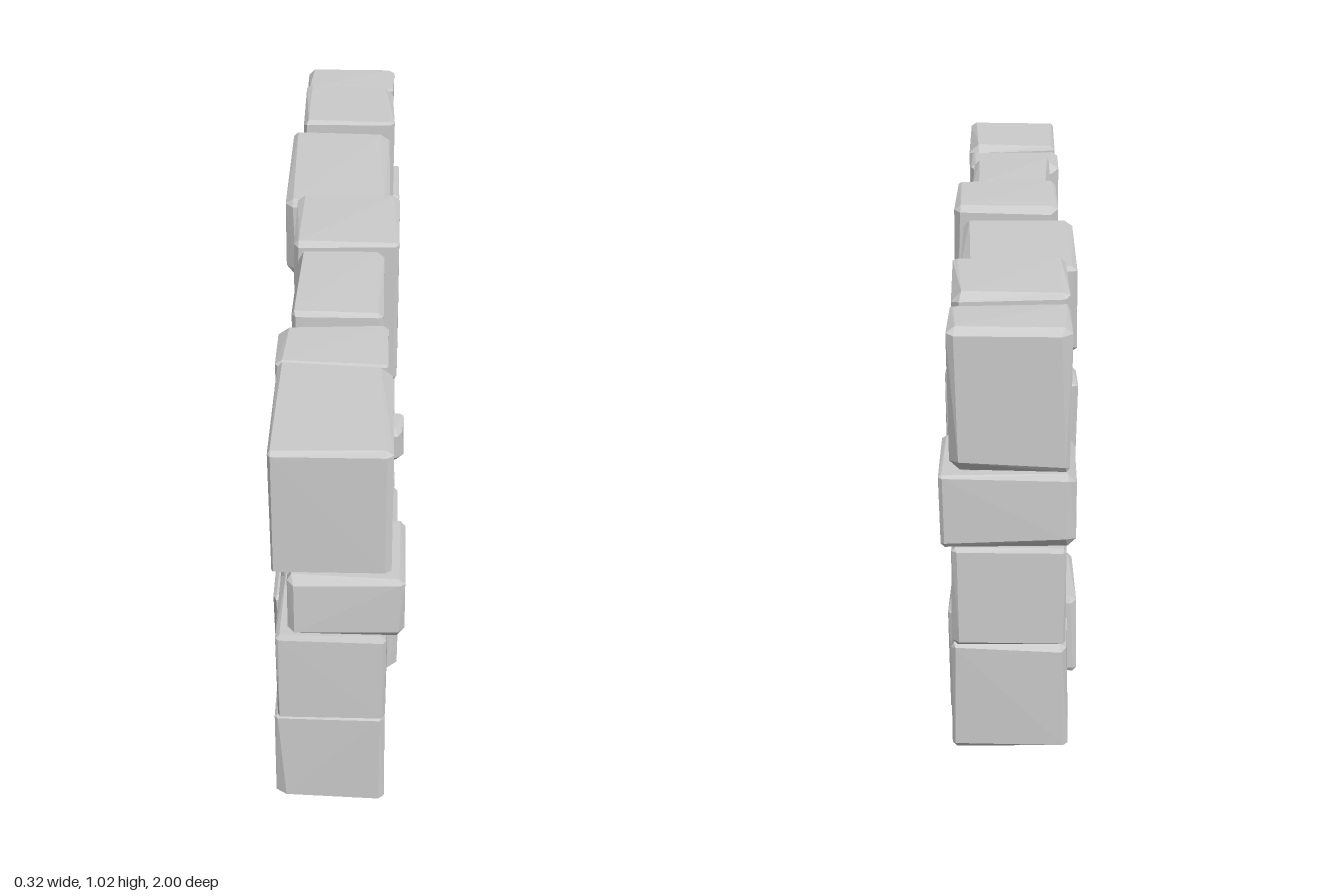
import * as THREE from 'three';
import { ConvexGeometry } from 'three/addons/geometries/ConvexGeometry.js';

const material = new THREE.MeshStandardMaterial({ color: 0xcccccc, flatShading: true });

// Stones running through the whole wall: z0, z1, y0, y1, x0, x1
const topCourse = [
  [0.65, 1, 0.70, 1.015, -0.13, 0.125],
  [0.47, 0.65, 0.68, 1.0, -0.135, 0.115],
  [0.16, 0.47, 0.77, 1.02, -0.11, 0.105],
  [-0.12, 0.16, 0.64, 1.03, -0.12, 0.14],
  [-0.55, -0.12, 0.78, 1.0, -0.155, 0.115],
  [-0.83, -0.55, 0.72, 1.025, -0.13, 0.125],
  [-1, -0.83, 0.69, 1.005, -0.13, 0.125],
];
const endStones = [
  [0.78, 1, 0.53, 0.69, -0.10, 0.158],
  [0.76, 1, 0.29, 0.53, -0.125, 0.12],
  [0.72, 1, 0.03, 0.30, -0.13, 0.118],
  [-1, -0.77, 0.52, 0.69, -0.145, 0.145],
  [-0.995, -0.79, 0.29, 0.52, -0.125, 0.12],
  [-0.98, -0.82, 0.03, 0.29, -0.13, 0.125],
];

// Stones facing one side only: z0, z1, y0, y1, depth
const leftFace = [
  [0.47, 0.78, 0.43, 0.69, 0.12],
  [0.17, 0.47, 0.63, 0.77, 0.115],
  [-0.05, 0.29, 0.45, 0.64, 0.135],
  [0.29, 0.38, 0.54, 0.64, 0.155],
  [0.38, 0.47, 0.52, 0.65, 0.11],
  [0.29, 0.46, 0.37, 0.53, 0.12],
  [-0.36, -0.06, 0.41, 0.78, 0.11],
  [-0.60, -0.36, 0.37, 0.77, 0.145],
  [-0.77, -0.60, 0.43, 0.70, 0.115],
  [-0.79, -0.60, 0.28, 0.43, 0.11],
  [0.29, 0.76, 0.20, 0.43, 0.145],
  [0.28, 0.73, 0.03, 0.22, 0.118],
  [0.11, 0.28, 0.14, 0.43, 0.135],
  [0.11, 0.28, 0.01, 0.16, 0.145],
  [-0.38, 0.11, 0.01, 0.24, 0.14],
  [-0.07, 0.11, 0.24, 0.44, 0.11],
  [-0.36, -0.06, 0.22, 0.43, 0.118],
  [-0.60, -0.38, 0.03, 0.23, 0.12],
  [-0.60, -0.36, 0.22, 0.38, 0.11],
  [-0.83, -0.60, 0.03, 0.29, 0.135],
];
const rightFace = [
  [-0.83, -0.62, 0.02, 0.28, 0.12],
  [-0.62, -0.36, 0.01, 0.21, 0.16],
  [-0.36, 0.14, 0.02, 0.26, 0.12],
  [0.14, 0.30, 0.01, 0.13, 0.16],
  [0.14, 0.30, 0.13, 0.30, 0.12],
  [0.30, 0.74, 0.03, 0.25, 0.125],
  [-0.80, -0.58, 0.28, 0.55, 0.125],
  [-0.76, -0.62, 0.55, 0.80, 0.15],
  [-0.58, -0.33, 0.21, 0.56, 0.12],
  [-0.62, -0.32, 0.56, 0.78, 0.13],
  [-0.33, -0.06, 0.26, 0.60, 0.12],
  [-0.32, -0.06, 0.60, 0.78, 0.13],
  [-0.06, 0.24, 0.26, 0.46, 0.13],
  [-0.06, 0.24, 0.46, 0.66, 0.145],
  [0.24, 0.42, 0.30, 0.50, 0.12],
  [0.22, 0.44, 0.50, 0.77, 0.15],
  [0.42, 0.77, 0.25, 0.45, 0.145],
  [0.42, 0.79, 0.45, 0.69, 0.125],
];

let seed = 11;
function random() {
  seed = (seed * 16807) % 2147483647;
  return seed / 2147483647;
}

// Rough block: every corner is cut by a bevel of varying size
function stoneGeometry(x0, x1, y0, y1, z0, z1) {
  const points = [];
  for (const sx of [0, 1]) for (const sy of [0, 1]) for (const sz of [0, 1]) {
    const corner = [sx ? x1 : x0, sy ? y1 : y0, sz ? z1 : z0];
    const inward = [sx ? -1 : 1, sy ? -1 : 1, sz ? -1 : 1];
    const bevel = 0.01 + 0.018 * random() ** 2;
    for (let axis = 0; axis < 3; axis++) {
      const p = corner.map((c, i) => c + inward[i] * (i === axis ? 0.006 * random() : bevel * (0.7 + 0.5 * random())));
      points.push(new THREE.Vector3(...p));
    }
  }
  return new ConvexGeometry(points);
}

export function createModel() {
  const wall = new THREE.Group();
  wall.name = 'stoneWall';

  // Mortar core behind the joints
  const core = new THREE.Mesh(new THREE.BoxGeometry(0.19, 0.93, 1.93), material);
  core.name = 'mortarCore';
  core.position.y = 0.51;
  wall.add(core);

  const addCourse = (name, stones, toBox) => {
    const group = new THREE.Group();
    group.name = name;
    stones.forEach((s, i) => {
      const mesh = new THREE.Mesh(stoneGeometry(...toBox(s)), material);
      mesh.name = `${name}Stone${i + 1}`;
      group.add(mesh);
    });
    wall.add(group);
  };

  const through = ([z0, z1, y0, y1, x0, x1]) => [x0, x1, y0, y1, z0, z1];
  addCourse('topCourse', topCourse, through);
  addCourse('endColumns', endStones, through);
  addCourse('leftFace', leftFace, ([z0, z1, y0, y1, d]) => [0, d, y0, y1, z0, z1]);
  addCourse('rightFace', rightFace, ([z0, z1, y0, y1, d]) => [-d, 0, y0, y1, z0, z1]);
  return wall;
}
